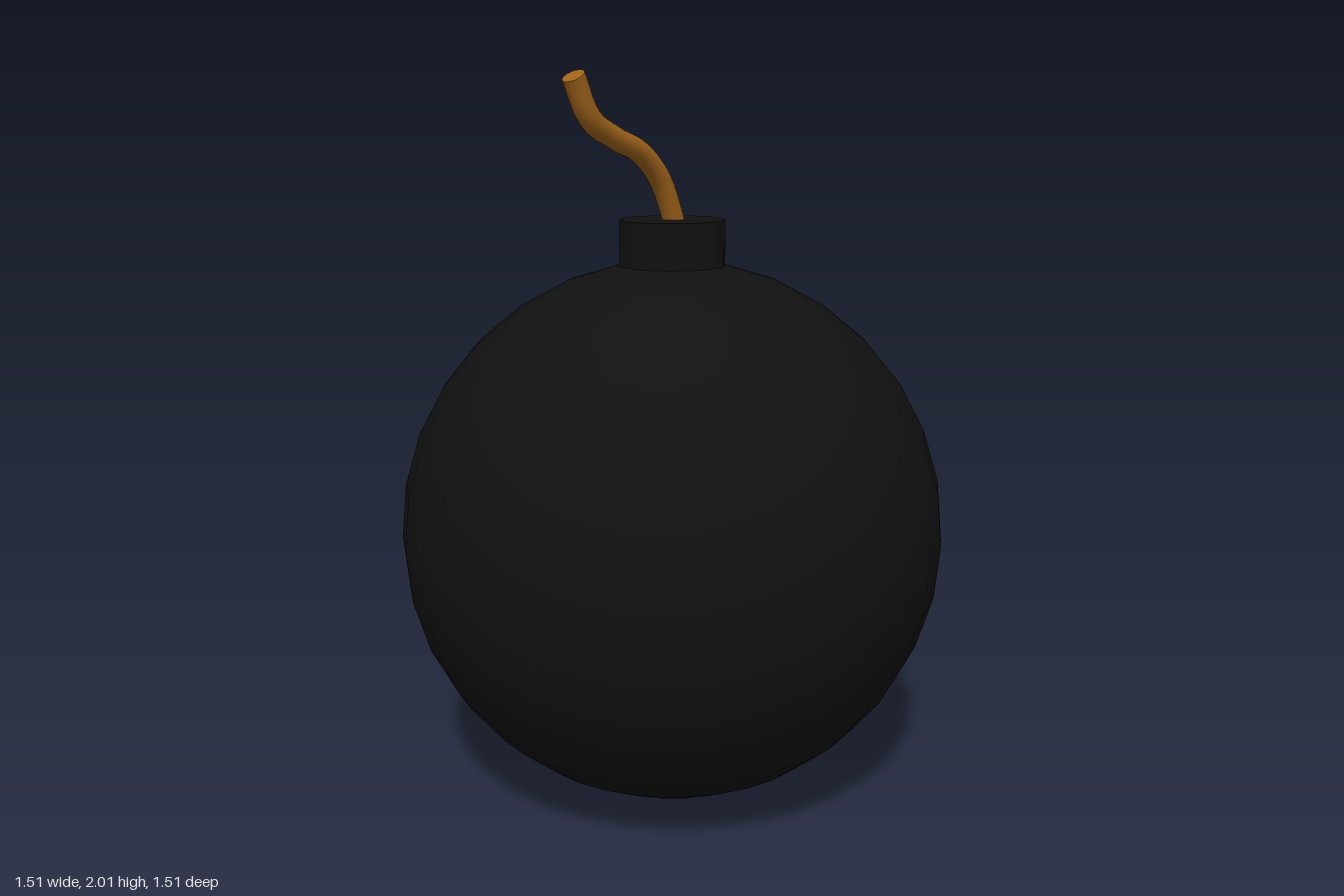
import * as THREE from 'three';

export function createModel() {
  const model = new THREE.Group();
  const black = new THREE.MeshStandardMaterial({ color: 0x111111 });
  const brown = new THREE.MeshStandardMaterial({ color: 0xa0641a });

  function add(name, geometry, material, y = 0) {
    const mesh = new THREE.Mesh(geometry, material);
    mesh.name = name;
    mesh.position.y = y;
    model.add(mesh);
    return mesh;
  }

  // Round body resting on the ground
  const radius = 0.755;
  add('body', new THREE.SphereGeometry(radius, 32, 16), black, radius);

  // Short collar sunk into the top of the body
  add('collar', new THREE.CylinderGeometry(0.144, 0.144, 0.22, 32), black, 1.51);

  // Wavy fuse leaning to the front, in the x = 0 plane: [y, z]
  const path = new THREE.CatmullRomCurve3(
    [[1.56, -0.025], [1.63, 0], [1.73, 0.055], [1.8, 0.135], [1.84, 0.24], [1.89, 0.335], [1.992, 0.395]]
      .map(([y, z]) => new THREE.Vector3(0, y, z)));
  const fuseRadius = 0.03;
  add('fuse', new THREE.TubeGeometry(path, 40, fuseRadius, 16), brown);

  // Flat end closing the fuse
  const tip = add('fuseTip', new THREE.CircleGeometry(fuseRadius, 16), brown);
  tip.position.copy(path.getPoint(1));
  tip.quaternion.setFromUnitVectors(new THREE.Vector3(0, 0, 1), path.getTangent(1));

  return model;
}
